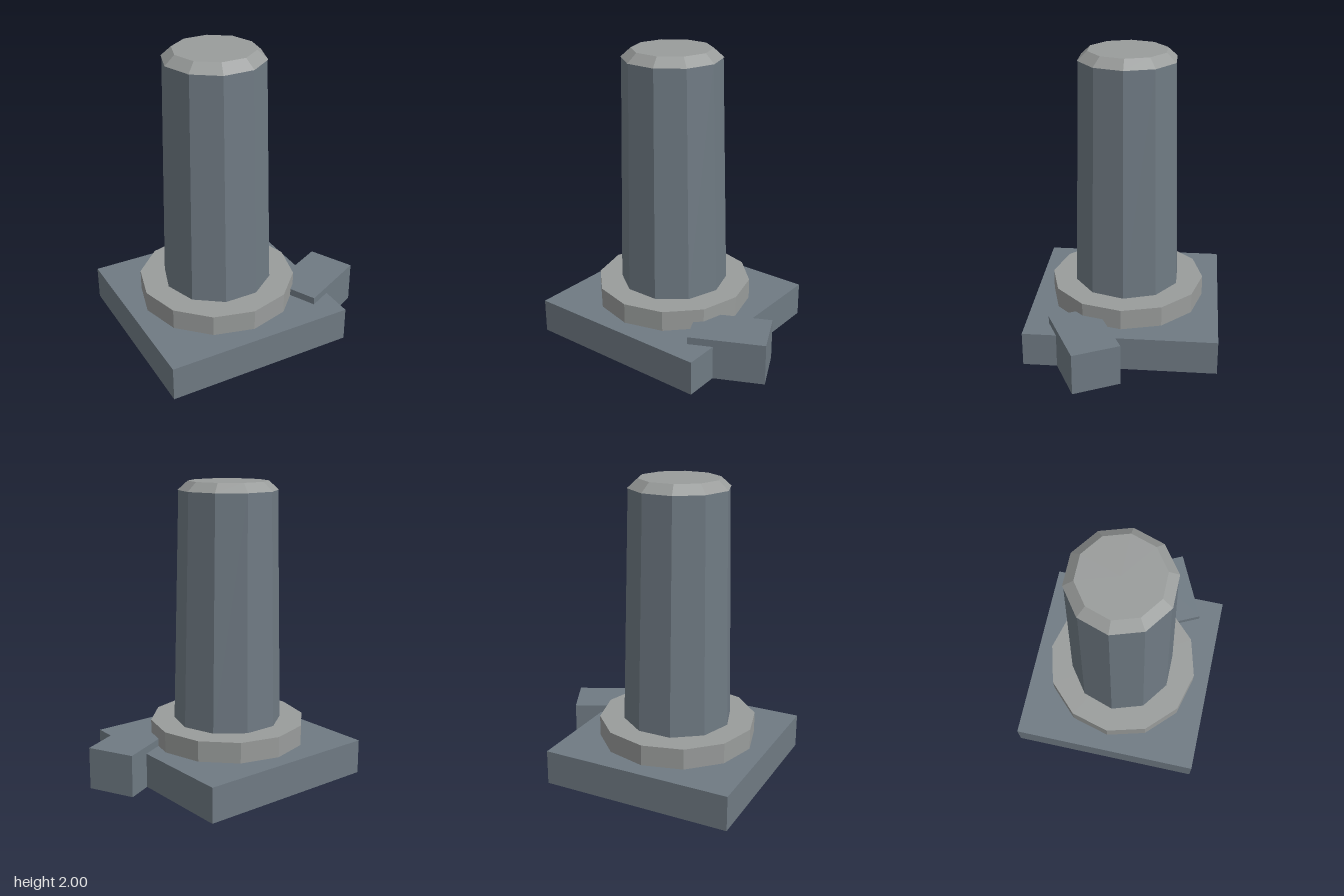
import * as THREE from 'three';

export function createModel() {
  const model = new THREE.Group();
  const slate = new THREE.MeshStandardMaterial({ name: 'slate', color: 0x6f7a83, flatShading: true });
  const stone = new THREE.MeshStandardMaterial({ name: 'pale stone', color: 0x999c9b, flatShading: true });
  const axisX = -0.157; // centre line of the pillar

  function add(name, geometry, material, x, y, z) {
    const mesh = new THREE.Mesh(geometry, material);
    mesh.name = name;
    mesh.position.set(x, y, z);
    model.add(mesh);
    return mesh;
  }

  // Faceted ring section between two heights, with a corner on the x axis
  function drum(name, material, rBottom, rTop, y0, y1, sides) {
    const geometry = new THREE.CylinderGeometry(rTop, rBottom, y1 - y0, sides, 1, false, Math.PI / 2);
    return add(name, geometry, material, axisX, (y0 + y1) / 2, 0);
  }

  // Square plinth
  add('plinth', new THREE.BoxGeometry(1.292, 0.235, 1.292), slate, axisX, 0.1175, 0);

  // Collar, tapering shaft and bevelled cap
  drum('collar', stone, 0.532, 0.532, 0.235, 0.375, 12);
  drum('shaft', slate, 0.368, 0.329, 0.375, 1.94, 10);
  drum('cap', stone, 0.334, 0.267, 1.94, 2, 10);

  // Loose block set at an angle into the side of the plinth
  const block = add('sideBlock', new THREE.BoxGeometry(0.51, 0.285, 0.327), slate, 0.496, 0.1425, 0.233);
  block.rotation.y = 0.445;

  return model;
}
